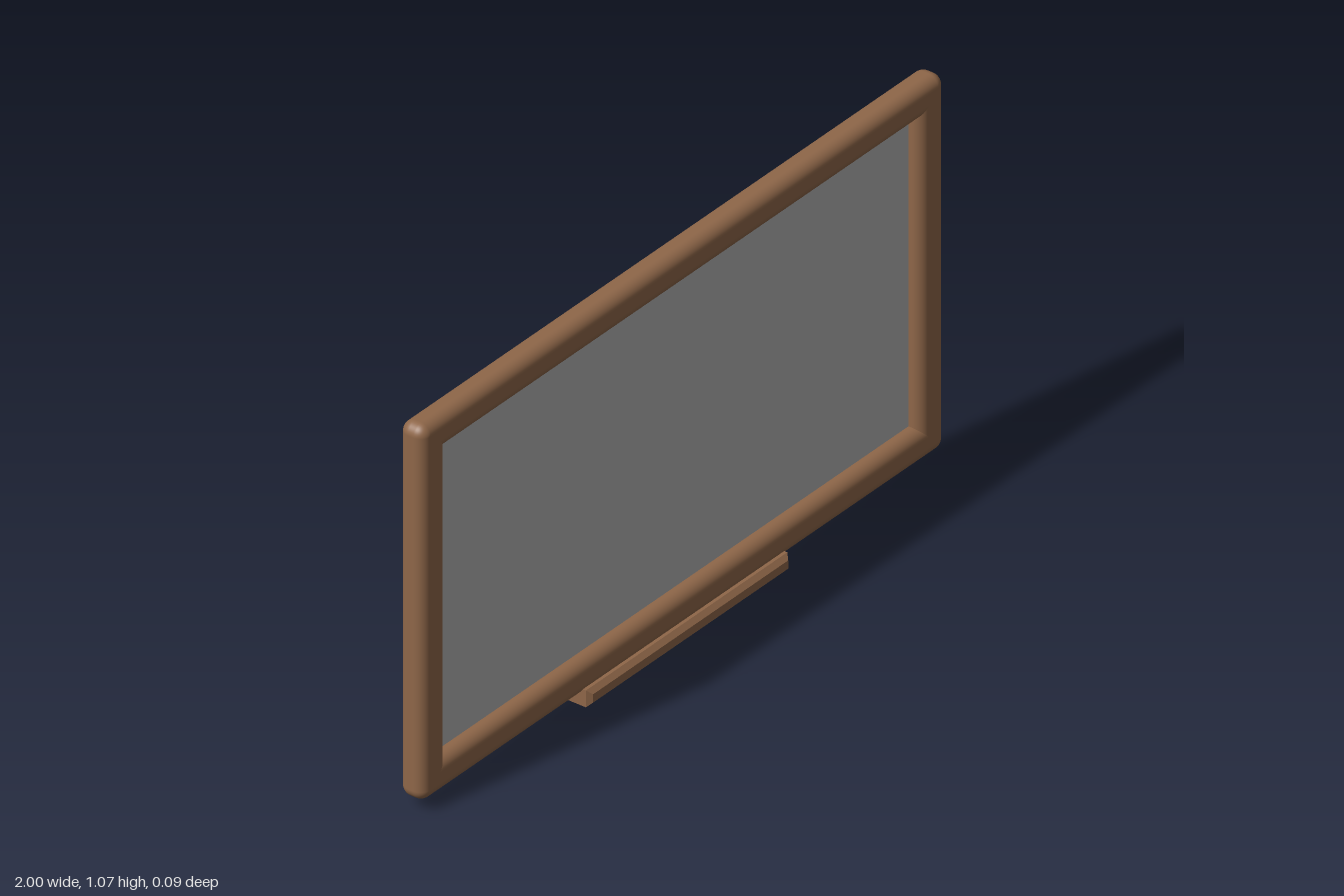
import * as THREE from 'three';
import { RoundedBoxGeometry } from 'three/addons/geometries/RoundedBoxGeometry.js';

export function createModel() {
  const group = new THREE.Group();
  const brown = new THREE.MeshStandardMaterial({ color: 0x8f6749 });
  brown.name = 'brown casing';
  const grey = new THREE.MeshStandardMaterial({ color: 0xb3b3b3 });
  grey.name = 'grey screen';

  const add = (name, geometry, material, x, y, z) => {
    const mesh = new THREE.Mesh(geometry, material);
    mesh.name = name;
    mesh.position.set(x, y, z);
    group.add(mesh);
    return mesh;
  };

  // Rounded frame: four overlapping bars
  const bar = 0.09, depth = 0.075, radius = 0.03;
  const bottom = 0.03, top = 1.07, midY = (bottom + top) / 2, midZ = -0.0075;
  const rail = new RoundedBoxGeometry(2, bar, depth, 5, radius);
  const post = new RoundedBoxGeometry(bar + 0.005, top - bottom, depth, 5, radius);
  add('topRail', rail, brown, 0, top - bar / 2, midZ);
  add('bottomRail', rail, brown, 0, bottom + bar / 2, midZ);
  add('leftPost', post, brown, 1 - (bar + 0.005) / 2, midY, midZ);
  add('rightPost', post, brown, -1 + (bar + 0.005) / 2, midY, midZ);

  // Back panel, nearly flush with the rear of the frame
  add('backPanel', new THREE.BoxGeometry(1.9, 0.94, 0.03), brown, 0, midY, -0.0295);

  // Screen set into the frame
  add('screen', new THREE.BoxGeometry(1.84, 0.9, 0.006), grey, 0, midY, -0.0115);

  // Chamfered bar under the frame
  const c = 0.012, halfW = 0.385 - c;
  const shape = new THREE.Shape();
  shape.moveTo(-halfW, c);
  shape.lineTo(halfW, c);
  shape.lineTo(halfW, 0.047 - c);
  shape.lineTo(-halfW, 0.047 - c);
  shape.closePath();
  const base = new THREE.ExtrudeGeometry(shape, {
    depth: 0.078 - 2 * c, bevelEnabled: true, bevelThickness: c, bevelSize: c, bevelSegments: 1,
  });
  add('lowerBar', base, brown, 0, 0, -0.03 + c);

  return group;
}
